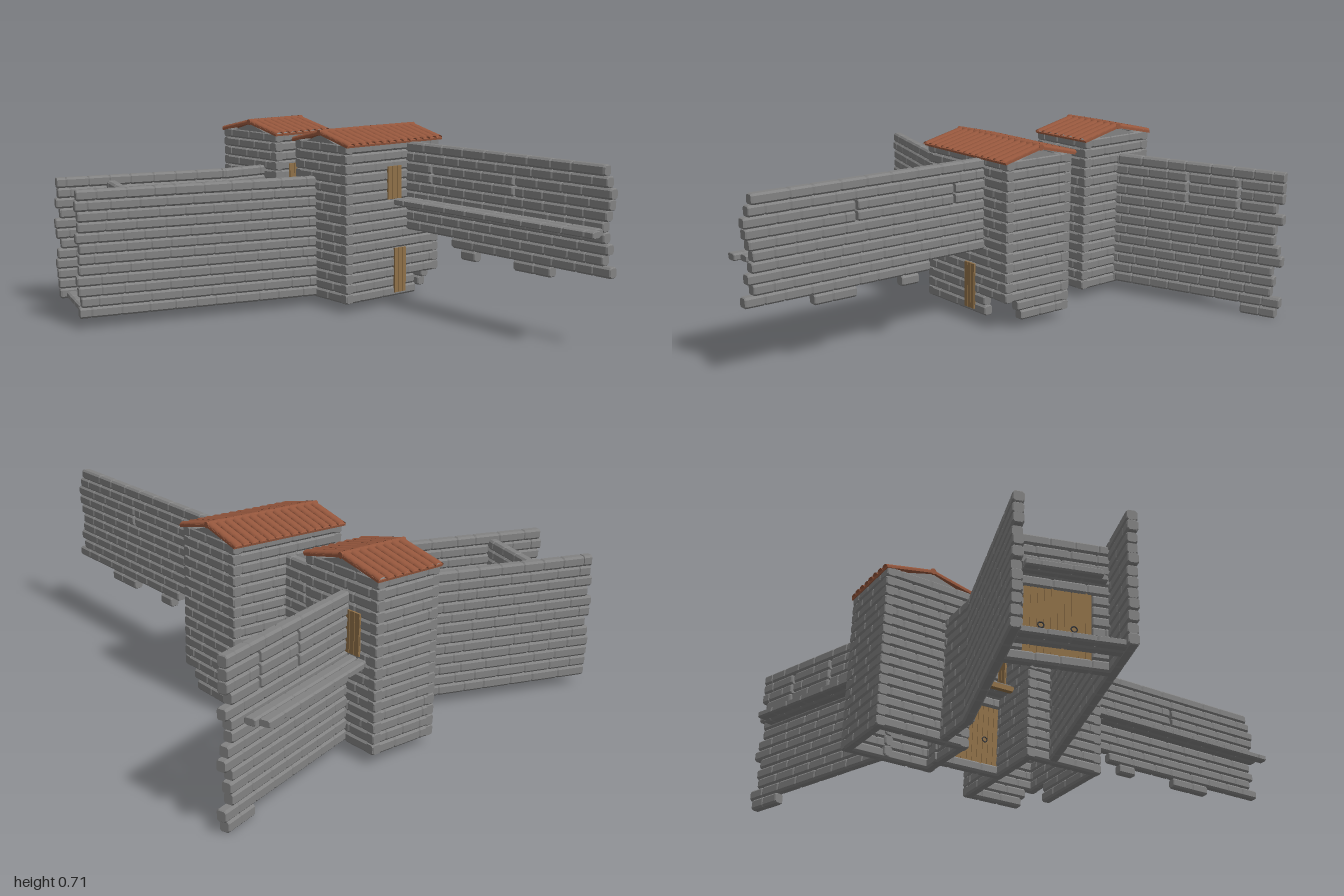
import * as THREE from 'three';
import { mergeGeometries } from 'three/addons/utils/BufferGeometryUtils.js';

const mat = (name, color) => Object.assign(new THREE.MeshStandardMaterial({ color }), { name });

export function createModel() {
  const stoneMat = mat('grey stone', 0x828282);
  const tileMat = mat('clay tile', 0x96573d);
  tileMat.side = THREE.DoubleSide;
  const woodMat = mat('oak wood', 0x8f7048);
  const ironMat = mat('dark iron', 0x3a3c40);
  const root = new THREE.Group();
  root.name = 'castleGatehouse';

  let seed = 7;
  const rnd = () => (seed = (seed * 16807) % 2147483647) / 2147483647;

  const add = (parent, name, geo, material) => {
    const m = new THREE.Mesh(geo, material);
    m.name = name;
    parent.add(m);
    return m;
  };

  // Unit stone: chamfered bar along x with bevelled ends
  const c = 0.28, e = 0.42;
  const oct = new THREE.Shape([[-c, -e], [c, -e], [e, -c], [e, c], [c, e], [-c, e], [-e, c], [-e, -c]]
    .map(([x, y]) => new THREE.Vector2(x, y)));
  const unitStone = new THREE.ExtrudeGeometry(oct, {
    depth: 0.88, bevelEnabled: true, bevelThickness: 0.06, bevelSize: 0.08, bevelSegments: 1, steps: 1,
  }).translate(0, 0, -0.44).rotateY(Math.PI / 2);
  const stone = (x0, x1, y, h, z, t) =>
    unitStone.clone().scale(x1 - x0, h, t).translate((x0 + x1) / 2, y, z);

  // Lays a course of stones from s0 to s1, with staggered joints
  const course = (out, s0, s1, y, h, z, t, shift) => {
    let s = s0;
    let first = true;
    while (s1 - s > 0.003) {
      let next = s + (0.075 + rnd() * 0.045) * (first && shift ? 0.5 : 1);
      first = false;
      if (s1 - next < 0.035) next = s1;
      out.push(stone(s, next, y, h, z, t));
      s = next;
    }
  };

  // Group whose local x runs from a to b
  const line = (parent, name, a, b) => {
    const g = new THREE.Group();
    g.name = name;
    g.position.set(a[0], 0, a[1]);
    g.rotation.y = Math.atan2(a[1] - b[1], b[0] - a[0]);
    g.userData.len = Math.hypot(b[0] - a[0], b[1] - a[1]);
    parent.add(g);
    return g;
  };

  // Coursed wall; holes are [s0, s1, y0, y1], base(s) gives a stepped foot
  const wall = (parent, name, a, b, y0, y1, o = {}) => {
    const g = line(parent, name, a, b);
    const { t = 0.038, holes = [], base = () => y0, ragged = 0 } = o;
    const len = g.userData.len, n = Math.round((y1 - y0) / 0.04), h = (y1 - y0) / n, out = [];
    for (let i = 0; i < n; i++) {
      const y = y0 + (i + 0.5) * h;
      const end = len + (ragged ? (rnd() - 0.5) * ragged : t / 2);
      let spans = [[-t / 2, end]];
      for (const [p, q, lo, hi] of holes) {
        if (y < lo || y > hi) continue;
        spans = spans.flatMap(([u, v]) => [[u, Math.min(v, p)], [Math.max(u, q), v]].filter(([k, l]) => l - k > 0.005));
      }
      for (const [u, v] of spans) {
        const row = [];
        course(row, u, v, y, h, 0, t, i % 2);
        for (const st of row) {
          st.computeBoundingBox();
          const mid = (st.boundingBox.min.x + st.boundingBox.max.x) / 2;
          if (y > base(mid)) out.push(st);
        }
      }
    }
    add(g, name + 'Stones', mergeGeometries(out), stoneMat);
    return g;
  };

  // Flat walkway of stone strips beside a wall
  const walkway = (g, name, y, side, s0, s1, strips = 2, w = 0.043) => {
    const out = [];
    for (let k = 0; k < strips; k++) {
      course(out, s0, s1 + (rnd() - 0.3) * 0.04, y, 0.026, side * (0.02 + (k + 0.5) * w), w, k % 2);
    }
    add(g, name, mergeGeometries(out), stoneMat);
  };

  // Plank door facing local z, with two ring handles per side
  const door = (parent, name, x, y, z, w, h, turn = 0, rings = true) => {
    const g = new THREE.Group();
    g.name = name;
    g.position.set(x, y, z);
    g.rotation.y = turn;
    parent.add(g);
    const n = Math.max(3, Math.round(w / 0.022)), planks = [], iron = [];
    for (let i = 0; i < n; i++) {
      planks.push(new THREE.BoxGeometry(w / n - 0.0025, h, 0.009).translate(-w / 2 + (i + 0.5) * w / n, h / 2, 0));
    }
    planks.push(new THREE.BoxGeometry(w, h, 0.004).translate(0, h / 2, 0));
    add(g, name + 'Planks', mergeGeometries(planks), woodMat);
    if (!rings) return;
    for (const sx of [-1, 1]) for (const sz of [-1, 1]) {
      iron.push(new THREE.TorusGeometry(0.01, 0.0025, 5, 10).translate(sx * w * 0.24, h * 0.42, sz * 0.007));
    }
    add(g, name + 'Rings', mergeGeometries(iron), ironMat);
  };

  // Gabled roof of half-round tiles, ridge along x
  const roof = (parent, hx, hz, hwx, hwz) => {
    const top = 0.692, drop = 0.04, slope = Math.atan2(drop, hz), run = Math.hypot(drop, hz);
    const cols = Math.round(hx * 2 / 0.036), rows = 5, w = hx * 2 / cols, l = run / rows, tiles = [];
    const tile = new THREE.CylinderGeometry(w * 0.52, w * 0.44, l * 1.12, 6, 1, true, Math.PI / 2, Math.PI)
      .rotateX(Math.PI / 2).scale(1, 0.65, 1).rotateX(0.06);
    for (const turn of [0, Math.PI]) {
      const slab = [new THREE.BoxGeometry(hx * 2, 0.008, run).translate(0, 0, run / 2)];
      for (let i = 0; i < cols; i++) for (let j = 0; j < rows; j++) {
        slab.push(tile.clone().translate(-hx + (i + 0.5) * w, 0.004, (j + 0.5) * l + (rnd() - 0.5) * 0.006));
      }
      for (const s of slab) tiles.push(s.rotateX(slope).translate(0, top, 0).rotateY(turn));
    }
    tiles.push(new THREE.CylinderGeometry(0.012, 0.012, hx * 2, 8).rotateZ(Math.PI / 2).translate(0, top + 0.003, 0));
    add(parent, 'roofTiles', mergeGeometries(tiles), tileMat);
    // Stone gables under the roof ends
    const tri = new THREE.Shape([new THREE.Vector2(-hwz, 0.64), new THREE.Vector2(hwz, 0.64), new THREE.Vector2(0, top - 0.005)]);
    for (const s of [-1, 1]) {
      const geo = new THREE.ExtrudeGeometry(tri, { depth: 0.03, bevelEnabled: false })
        .translate(0, 0, -0.015).rotateY(Math.PI / 2).translate(s * hwx, 0, 0);
      add(parent, 'gable', geo, stoneMat);
    }
  };

  // Tower: four coursed walls and a roof
  const tower = (name, x, z, turn, hx, hz, rx, rz, bases = {}) => {
    const g = new THREE.Group();
    g.name = name;
    g.position.set(x, 0, z);
    g.rotation.y = -turn;
    root.add(g);
    const P = [[-hx, hz], [hx, hz], [hx, -hz], [-hx, -hz]];
    ['front', 'left', 'back', 'right'].forEach((s, i) =>
      wall(g, s + 'Wall', P[i], P[(i + 1) % 4], 0.035, 0.66, { base: bases[s] }));
    roof(g, rx, rz, hx, hz);
    return g;
  };

  const A = tower('frontTower', 0.13, -0.185, 0.13, 0.225, 0.14, 0.25, 0.172, {
    front: (s) => (s < 0.34 ? 0 : s < 0.4 ? 0.07 : 0.11),
    left: (s) => (s < 0.05 ? 0.11 : 0),
  });
  const B = tower('backTower', 0.15, -0.735, 0.1, 0.122, 0.162, 0.145, 0.185);

  // Tower doors opening on the walkways
  door(A, 'walkwayDoor', 0.0, 0.43, 0.162, 0.07, 0.13, 0, false);
  door(A, 'walkwayDoor', -0.04, 0.38, -0.162, 0.07, 0.15, 0, false);
  door(A, 'lowerDoor', 0.03, 0.05, 0.162, 0.06, 0.18, 0, false);
  door(B, 'walkwayDoor', -0.04, 0.38, 0.184, 0.07, 0.15, 0, false);
  door(B, 'walkwayDoor', 0.144, 0.37, -0.07, 0.07, 0.15, Math.PI / 2, false);

  // Long curtain wall to the front
  const long = wall(root, 'frontCurtainWall', [0.197, -0.01], [0.075, 0.985], 0.22, 0.65, {
    ragged: 0.04,
    holes: [[0.125, 0.137, 0.49, 0.59], [0.56, 0.572, 0.49, 0.59]],
    base: (s) => (s < 0.2 ? 0.28 : (s > 0.28 && s < 0.36) || (s > 0.43 && s < 0.5) || (s > 0.57 && s < 0.72) ? 0.22 : 0.25),
  });
  walkway(long, 'walkway', 0.42, 1, 0.01, 0.985);

  // Side curtain wall
  const sideWall = wall(root, 'sideCurtainWall', [0.27, -0.74], [0.962, -0.885], 0, 0.58, {
    ragged: 0.04,
    holes: [[0.32, 0.332, 0.43, 0.53], [0.535, 0.547, 0.43, 0.53]],
    base: (s) => (s > 0.6 ? 0 : s > 0.38 ? 0.045 : 0.06),
  });
  walkway(sideWall, 'walkway', 0.35, -1, 0.02, 0.63);

  // Main gate between the towers
  const gate = wall(root, 'gateWall', [0.145, -0.335], [0.178, -0.575], 0.035, 0.58, {
    holes: [[0, 0.225, 0.07, 0.3], [0.115, 0.127, 0.43, 0.52]],
  });
  door(gate, 'mainGate', 0.113, 0.07, -0.008, 0.215, 0.235);
  walkway(gate, 'walkway', 0.36, -1, 0.0, 0.23);
  const beam = add(gate, 'walkwayBeam', new THREE.BoxGeometry(0.22, 0.02, 0.02), woodMat);
  beam.position.set(0.115, 0.345, -0.115);

  // Forecourt walls
  wall(root, 'forecourtFrontWall', [-0.1, -0.262], [-0.955, -0.648], 0.04, 0.52, { ragged: 0.02 });
  wall(root, 'forecourtBackWallInner', [0.02, -0.665], [-0.17, -0.692], 0.04, 0.52);
  wall(root, 'forecourtBackWallOuter', [-0.17, -0.692], [-0.805, -0.98], 0.04, 0.52, { ragged: 0.02 });

  // Outer gate across the forecourt
  const outer = wall(root, 'outerGateWall', [-0.613, -0.885], [-0.755, -0.57], 0.04, 0.5, {
    holes: [[0.06, 0.285, 0.07, 0.32]],
  });
  door(outer, 'outerGate', 0.172, 0.07, 0.008, 0.225, 0.25);
  walkway(outer, 'walkway', 0.36, 1, 0.05, 0.3, 2, 0.03);

  // Threshold at the forecourt mouth
  const sill = line(root, 'threshold', [-0.81, -0.965], [-0.95, -0.66]);
  walkway(sill, 'thresholdStones', 0.055, -1, 0.0, 0.33, 2, 0.04);

  return root;
}
